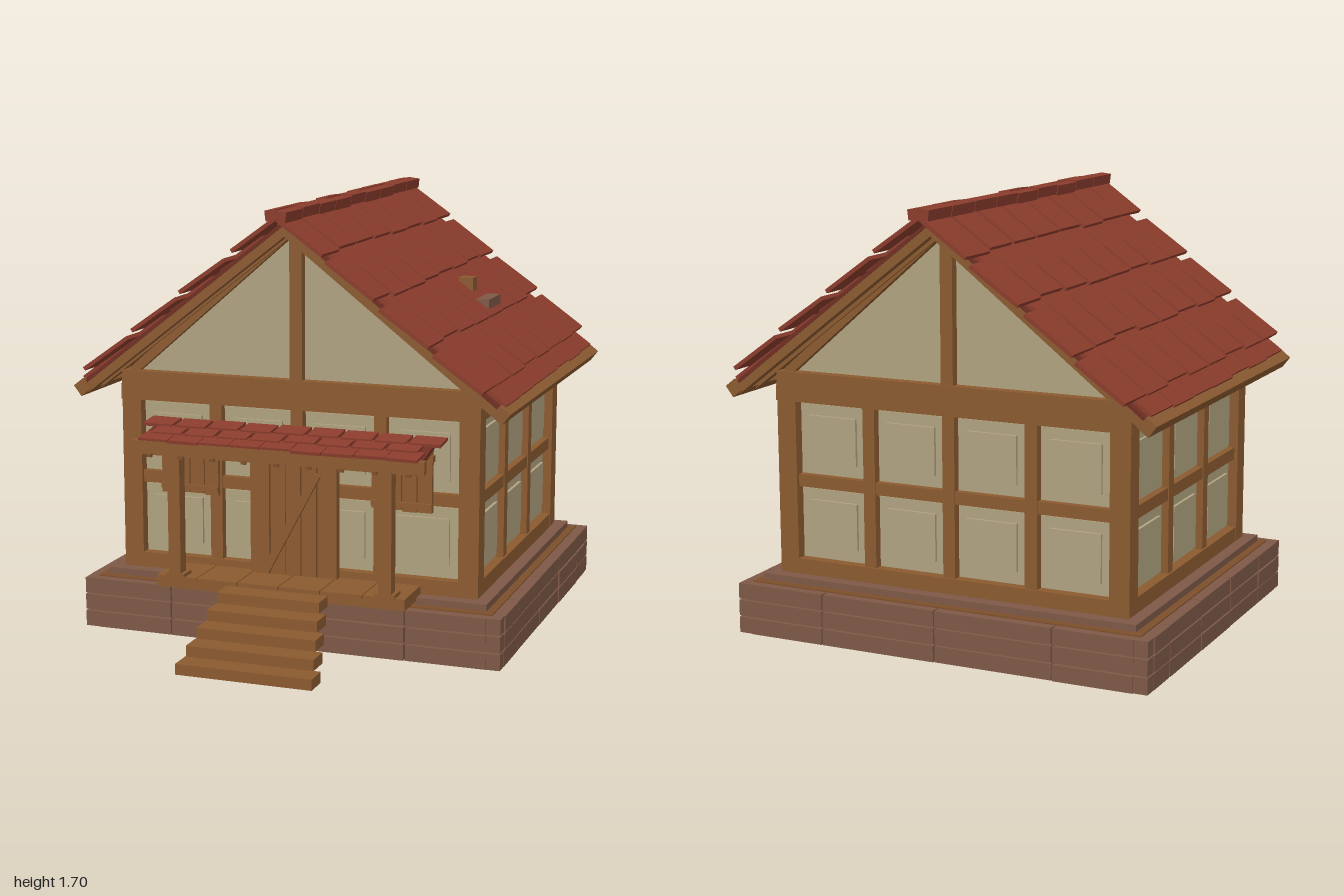
import * as THREE from 'three';

const material = (color) => new THREE.MeshStandardMaterial({ color, flatShading: true });
const WOOD = material(0x8b5a30), DARK = material(0x7c4f2a), STONE = material(0x7d5846);
const PLASTER = material(0xb0a280), RED = material(0x8b3c2c), DEEP = material(0x702e22);
const ZC = -0.175; // middle of the house body

let seed = 7;
const rand = () => (seed = (seed * 16807) % 2147483647) / 2147483647;
const jitter = (a) => (rand() - 0.5) * a;

function box(parent, name, mat, [w, h, d], [x, y, z], [rx, ry, rz] = [0, 0, 0]) {
  const m = new THREE.Mesh(new THREE.BoxGeometry(w, h, d), mat);
  m.name = name;
  m.position.set(x, y, z);
  m.rotation.set(rx, ry, rz);
  parent.add(m);
  return m;
}

function group(parent, name, x = 0, y = 0, z = 0) {
  const g = new THREE.Group();
  g.name = name;
  g.position.set(x, y, z);
  parent.add(g);
  return g;
}

// Three courses of long blocks around a core
function foundation(house) {
  const g = group(house, 'foundation', 0, 0, ZC);
  box(g, 'foundationCore', DARK, [1.62, 0.195, 1.4], [0, 0.11, 0]);
  box(g, 'floorSlab', STONE, [1.56, 0.026, 1.34], [0, 0.222, 0]);
  const frontCuts = [-0.8, -0.48, 0, 0.48, 0.8];
  const sideCuts = [-0.685, -0.525, -0.195, 0.13, 0.465, 0.685];
  for (const s of [-1, 1]) {
    for (let row = 0; row < 3; row++) {
      const y = 0.036 + row * 0.068;
      for (let i = 0; i < 4; i++) {
        const a = frontCuts[i], b = frontCuts[i + 1];
        box(g, 'foundationBlock', STONE, [b - a - 0.006, 0.062, 0.08], [(a + b) / 2, y, s * 0.7 + jitter(0.005)]);
      }
      for (let i = 0; i < 5; i++) {
        const a = sideCuts[i], b = sideCuts[i + 1];
        box(g, 'foundationBlock', STONE, [0.08, 0.062, b - a - 0.006], [s * 0.815 + jitter(0.005), y, (a + b) / 2]);
      }
      // corner blocks fill the last stretch of the front and back
      for (const t of [-1, 1]) box(g, 'cornerBlock', STONE, [0.055, 0.062, 0.055], [t * 0.825, y, s * 0.71]);
    }
  }
}

// One timber-framed wall facing local +z, its outer face at z = 0
function wall(house, name, length, bays) {
  const g = group(house, name);
  const inner = length - 0.16, pitch = (inner + 0.05) / bays;
  box(g, 'wallPlaster', PLASTER, [length - 0.06, 0.7, 0.03], [0, 0.59, -0.055]);
  box(g, 'sillBeam', WOOD, [length, 0.06, 0.07], [0, 0.265, -0.033]);
  box(g, 'middleRail', WOOD, [inner, 0.048, 0.05], [0, 0.605, -0.035]);
  box(g, 'topBeam', WOOD, [length + 0.01, 0.06, 0.07], [0, 0.945, -0.03]);
  for (let i = 1; i < bays; i++)
    box(g, 'wallPost', WOOD, [0.05, 0.64, 0.05], [-inner / 2 - 0.025 + i * pitch, 0.605, -0.031]);
  for (let i = 0; i < bays; i++) {
    const x = -inner / 2 - 0.025 + (i + 0.5) * pitch;
    for (const y of [0.438, 0.77]) {
      box(g, 'wallPanel', PLASTER, [pitch - 0.064, 0.27, 0.02], [x, y, -0.042]);
      box(g, 'raisedPanel', PLASTER, [(pitch - 0.05) * 0.72, 0.185, 0.02], [x, y, -0.03]);
    }
  }
  return g;
}

// Triangular end: plaster, king post, tie beam and sloping timbers
function gable(house, name) {
  const g = group(house, name);
  const shape = new THREE.Shape([[-0.7, 1], [0.7, 1], [0, 1.62]].map((p) => new THREE.Vector2(...p)));
  const m = new THREE.Mesh(new THREE.ExtrudeGeometry(shape, { depth: 0.03, bevelEnabled: false }), PLASTER);
  m.name = 'gablePlaster';
  m.position.z = -0.065;
  g.add(m);
  box(g, 'tieBeam', WOOD, [1.46, 0.055, 0.075], [0, 1.003, -0.03]);
  box(g, 'kingPost', WOOD, [0.05, 0.6, 0.05], [0, 1.32, -0.025]);
  for (const s of [-1, 1])
    box(g, 'gableTimber', WOOD, [0.9, 0.035, 0.05], [s * 0.35, 1.318, -0.03], [0, 0, -s * 0.71]);
}

// One pitch of the roof: local +x runs down the slope from the ridge
function roofSlope(house, name, side) {
  const turn = group(house, name, 0, 1.655, ZC);
  turn.rotation.y = side > 0 ? 0 : Math.PI;
  const g = group(turn, 'slope');
  g.rotation.z = -0.66;
  box(g, 'roofDeck', DEEP, [1.07, 0.014, 1.47], [0.535, -0.009, 0]);
  box(g, 'eaveBeam', WOOD, [0.05, 0.052, 1.49], [1.083, -0.02, 0]);
  for (const z of [-0.71, -0.6, 0.6, 0.71]) box(g, 'rafter', WOOD, [1.08, 0.035, 0.045], [0.54, -0.032, z]);
  for (let row = 0; row < 4; row++) {
    const x = 0.1 + row * 0.258;
    // under course, shifted by half a shingle
    for (let i = 0; i < 7; i++)
      box(g, 'underShingle', RED, [0.22, 0.014, 0.2], [Math.min(x + 0.13, 0.96) + jitter(0.012), 0.006, (i - 3) * 0.206], [0, 0, 0.03]);
    for (let i = 0; i < 8; i++)
      box(g, 'shingle', RED, [0.226, 0.015, 0.19 + jitter(0.02)],
        [x + jitter(0.02), 0.014, (i - 3.5) * 0.208], [0, jitter(0.02), 0.045 + jitter(0.02)]);
  }
}

function ridge(house) {
  const g = group(house, 'ridge', 0, 0, ZC);
  box(g, 'ridgeBeam', WOOD, [0.05, 0.05, 1.47], [0, 1.63, 0]);
  for (let i = 0; i < 9; i++)
    for (const s of [-1, 1])
      box(g, 'ridgeCap', RED, [0.042, 0.04, 0.178], [s * 0.02, 1.676 + jitter(0.006), (i - 4) * 0.183], [0, 0, -s * 0.12]);
}

function porch(house) {
  const g = group(house, 'porch');
  for (let i = 0; i < 6; i++)
    box(g, 'deckBoard', WOOD, [0.165, 0.022, 0.21], [(i - 2.5) * 0.169, 0.257, 0.535]);
  box(g, 'deckFrame', WOOD, [1.01, 0.03, 0.2], [0, 0.238, 0.54]);
  for (let i = 0; i < 5; i++)
    box(g, 'step', WOOD, [0.41 + i * 0.032, 0.042, 0.096], [0, 0.235 - i * 0.0525, 0.7 + i * 0.063]);
  for (const s of [-1, 1]) {
    box(g, 'porchPost', WOOD, [0.05, 0.51, 0.05], [s * 0.427, 0.505, 0.617]);
    box(g, 'postFoot', WOOD, [0.08, 0.018, 0.07], [s * 0.427, 0.273, 0.608]);
    box(g, 'porchRafter', WOOD, [0.04, 0.028, 0.23], [s * 0.53, 0.783, 0.545], [0.2, 0, 0]);
    box(g, 'wallBracket', WOOD, [0.04, 0.06, 0.03], [s * 0.53, 0.79, 0.45]);
  }
  box(g, 'porchBeam', WOOD, [1.17, 0.05, 0.03], [0, 0.778, 0.653]);
  box(g, 'porchCrossBeam', WOOD, [1.1, 0.028, 0.05], [0, 0.757, 0.615]);
  for (let i = 0; i < 9; i++)
    box(g, 'beamPeg', DARK, [0.02, 0.02, 0.01], [(i - 4) * 0.13, 0.748, 0.655]);

  // lean-to roof with two staggered courses
  const roof = group(g, 'porchRoof', 0, 0.842, 0.44);
  roof.rotation.x = 0.2;
  box(roof, 'porchRoofDeck', DEEP, [1.14, 0.014, 0.225], [0, -0.008, 0.11]);
  for (let row = 0; row < 3; row++) {
    const n = row === 1 ? 8 : 9;
    for (let i = 0; i < n; i++)
      box(roof, 'porchShingle', RED, [0.122, 0.012, 0.092],
        [(i - (n - 1) / 2) * (row === 2 ? 0.125 : 0.136), 0.006, 0.04 + row * 0.074 + jitter(0.012)], [-0.08, jitter(0.06), 0]);
  }
}

function doorAndShutters(house) {
  const door = group(house, 'door', 0, 0, 0.465);
  for (let i = 0; i < 5; i++)
    box(door, 'doorPlank', WOOD, [0.06, 0.48, 0.02], [(i - 2) * 0.064, 0.505, jitter(0.008)]);
  box(door, 'doorBacking', DARK, [0.32, 0.48, 0.02], [0, 0.505, -0.015]);
  for (const s of [-1, 1]) box(door, 'doorFrame', WOOD, [0.025, 0.49, 0.035], [s * 0.165, 0.51, -0.008]);
  box(door, 'doorLintel', WOOD, [0.36, 0.035, 0.04], [0, 0.755, -0.005]);
  box(door, 'bracePlank', WOOD, [0.03, 0.455, 0.016], [0, 0.482, 0.032], [0, 0, -0.49]);
  for (const s of [-1, 1]) {
    const g = group(house, 'shutters', s * 0.435, 0.665, 0.452);
    box(g, 'shutterBacking', DARK, [0.23, 0.2, 0.014], [0, 0, -0.004]);
    for (let i = 0; i < 4; i++)
      box(g, 'shutterPlank', WOOD, [0.056, 0.22, 0.018], [(i - 1.5) * 0.061, 0.005 + jitter(0.01), 0.004]);
    box(g, 'shutterBar', WOOD, [0.24, 0.022, 0.014], [0, -0.08, 0.016]);
    box(g, 'shutterHead', WOOD, [0.25, 0.025, 0.03], [0, 0.105, 0.008]);
  }
}

export function createModel() {
  const house = new THREE.Group();
  house.name = 'timberHouse';
  foundation(house);

  // walls, gables and corner posts
  for (const s of [1, -1]) {
    const long = wall(house, s > 0 ? 'frontWall' : 'backWall', 1.46, 4);
    long.position.z = ZC + s * 0.615;
    long.rotation.y = s > 0 ? 0 : Math.PI;
    const side = wall(house, s > 0 ? 'leftWall' : 'rightWall', 1.23, 3);
    side.position.set(s * 0.728, 0, ZC);
    side.rotation.y = s * Math.PI / 2;
    const end = house.children.length;
    gable(house, s > 0 ? 'frontGable' : 'backGable');
    house.children[end].position.z = ZC + s * 0.615;
    house.children[end].rotation.y = s > 0 ? 0 : Math.PI;
    for (const t of [-1, 1])
      box(house, 'cornerPost', WOOD, [0.08, 0.69, 0.08], [t * 0.692, 0.585, ZC + s * 0.577]);
    roofSlope(house, s > 0 ? 'leftRoof' : 'rightRoof', s);
  }
  ridge(house);
  porch(house);
  doorAndShutters(house);

  // small flue and plank on the left pitch
  box(house, 'roofFlue', WOOD, [0.06, 0.09, 0.06], [0.46, 1.312, -0.325]);
  box(house, 'roofPlank', STONE, [0.058, 0.05, 0.18], [0.545, 1.255, -0.325]);
  return house;
}
